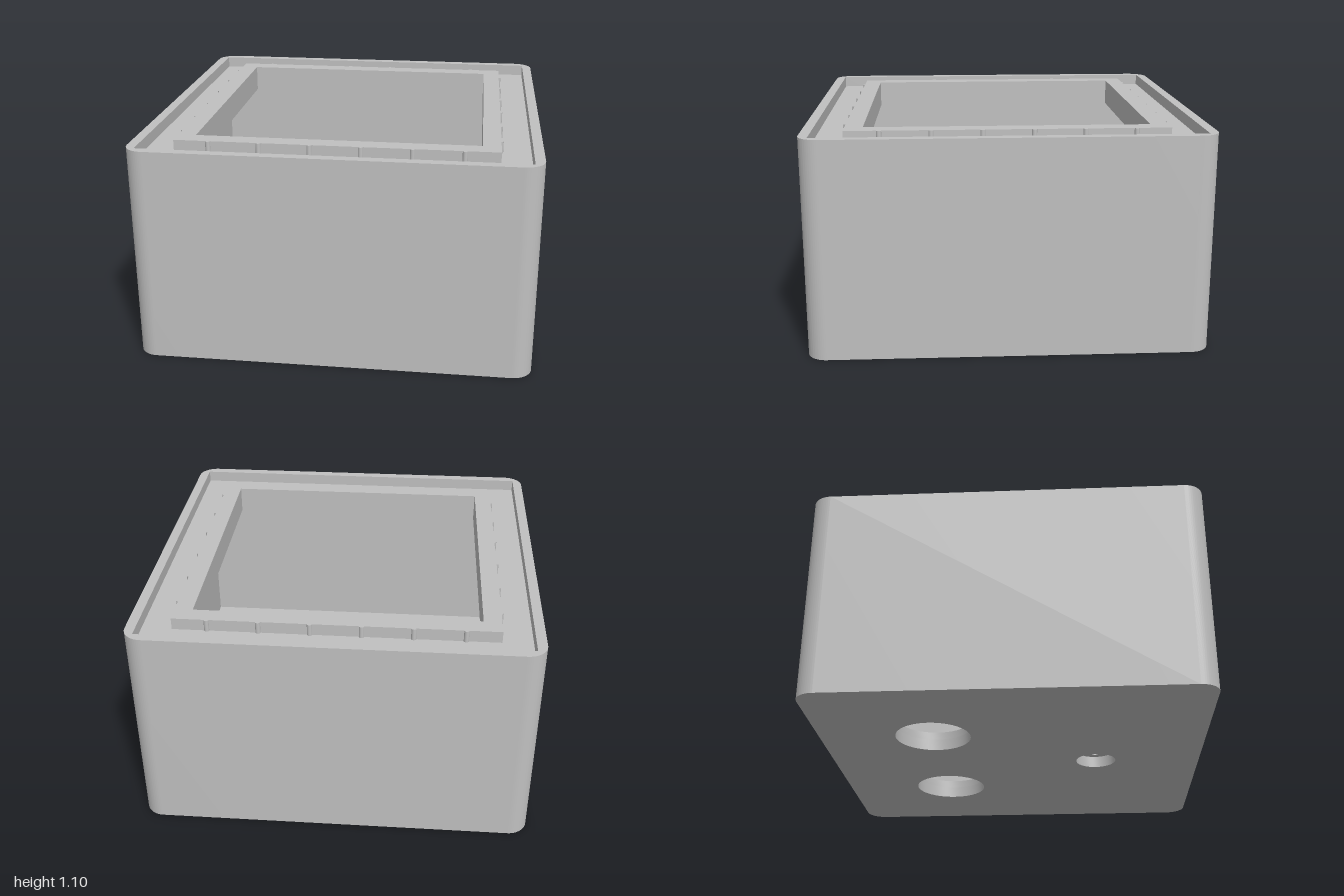
import * as THREE from 'three';
import { mergeGeometries, toCreasedNormals } from 'three/addons/utils/BufferGeometryUtils.js';

const HEIGHT = 1.1, CAVITY = 0.95, NECK = 0.71, RIM = 0.8;
const LEDGE_Y = 1.04, NECK_Y = 0.97, FLOOR_Y = 0.1, RECESS_Y = 0.06;

// Square outline of half-width h, optionally with rounded corners
function square(h, r = 0, Type = THREE.Shape) {
  const s = new Type();
  if (!r) return s.setFromPoints([[-h, -h], [h, -h], [h, h], [-h, h], [-h, -h]].map(([x, y]) => new THREE.Vector2(x, y)));
  const c = h - r;
  s.absarc(c, -c, r, -Math.PI / 2, 0);
  s.absarc(c, c, r, 0, Math.PI / 2);
  s.absarc(-c, c, r, Math.PI / 2, Math.PI);
  s.absarc(-c, -c, r, Math.PI, Math.PI * 1.5);
  s.closePath();
  return s;
}

const circle = (x, z, r) => new THREE.Path().absarc(x, -z, r, 0, Math.PI * 2);

// Upright slab between two heights, cut by holes
function slab(shape, holes, y0, y1) {
  shape.holes.push(...holes);
  const g = new THREE.ExtrudeGeometry(shape, { depth: y1 - y0, bevelEnabled: false, curveSegments: 24 });
  g.rotateX(-Math.PI / 2).translate(0, y0, 0);
  return toCreasedNormals(g, 0.6);
}

const frame = (outer, inner, y0, y1, r = 0) =>
  slab(square(outer, r), [square(inner, 0, THREE.Path)], y0, y1);

export function createModel() {
  const model = new THREE.Group();
  const grey = new THREE.MeshStandardMaterial({ color: 0xc0c0c0 });
  grey.name = 'grey';
  const add = (name, geometry) => {
    const mesh = new THREE.Mesh(geometry, grey);
    mesh.name = name;
    model.add(mesh);
  };

  // Outer wall with rounded vertical corners
  add('outerWall', frame(1, CAVITY, 0, HEIGHT, 0.1));

  // Floor: two large through holes, and a round recess pierced by two pin holes
  const ports = () => [-1, 1].map(s => circle(s * 0.407, -0.41, 0.195));
  const pins = [-1, 1].map(s => circle(s * 0.053, 0.437, 0.02));
  add('lowerFloor', slab(square(CAVITY), [...ports(), circle(0, 0.437, 0.107)], 0, RECESS_Y));
  add('upperFloor', slab(square(CAVITY), [...ports(), ...pins], RECESS_Y, FLOOR_Y));

  // Stepped overhang narrowing the cavity up to the neck
  const steps = 20, rise = (CAVITY - NECK) / steps, layers = [];
  for (let i = 0; i < steps; i++) {
    const top = NECK_Y - i * rise;
    layers.push(frame(CAVITY, NECK + i * rise, top - rise, top));
  }
  add('steppedOverhang', mergeGeometries(layers));

  // Ledge behind the outer lip, and the raised neck rim
  add('ledge', frame(CAVITY, NECK, NECK_Y, LEDGE_Y));
  add('neckRim', frame(RIM, NECK, LEDGE_Y, HEIGHT));

  // Small vertical grip ribs around the rim
  const ribs = [];
  for (let side = 0; side < 4; side++) {
    for (let i = 0; i < 6; i++) {
      const rib = new THREE.CylinderGeometry(0.013, 0.013, HEIGHT - LEDGE_Y, 16);
      rib.translate(-0.627 + i * 0.251, (HEIGHT + LEDGE_Y) / 2, RIM - 0.002);
      ribs.push(rib.rotateY(side * Math.PI / 2));
    }
  }
  add('rimRibs', mergeGeometries(ribs));
  return model;
}
